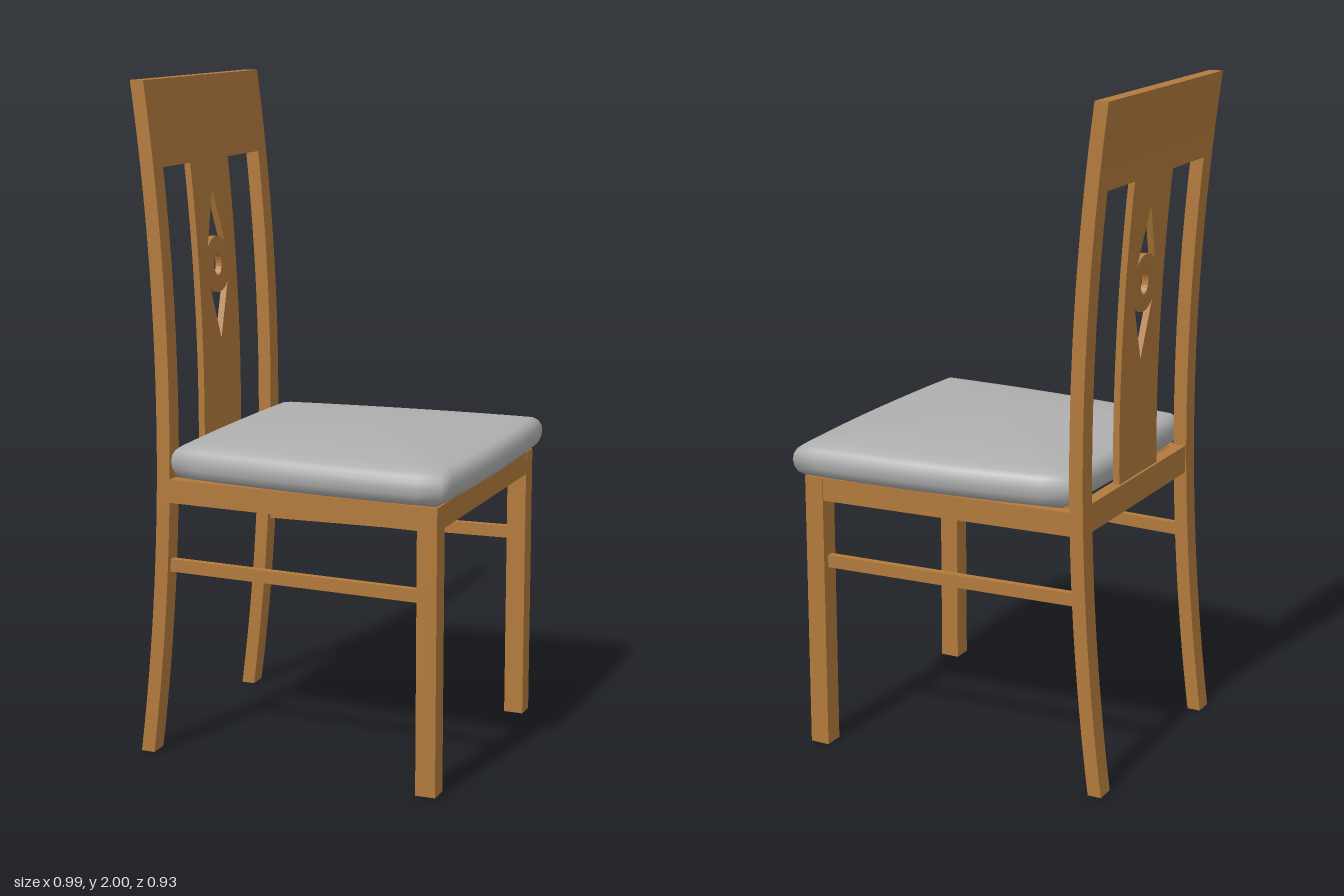
import * as THREE from 'three';

const wood = new THREE.MeshStandardMaterial({ color: 0xb27a3c });
wood.name = 'wood';
const fabric = new THREE.MeshStandardMaterial({ color: 0xb0b0b0 });
fabric.name = 'greyFabric';

// Rear face of the swept back, as x for a given height
const backX = (y) => -0.433 - 0.067 * (y - 1) ** 2;

function add(group, name, geometry, material = wood) {
  const mesh = new THREE.Mesh(geometry, material);
  mesh.name = name;
  group.add(mesh);
}

// Move every vertex by a rule
function deform(geometry, rule) {
  const p = geometry.attributes.position;
  const v = new THREE.Vector3();
  for (let i = 0; i < p.count; i++) {
    rule(v.fromBufferAttribute(p, i));
    p.setXYZ(i, v.x, v.y, v.z);
  }
  geometry.computeVertexNormals();
  return geometry;
}

function box(x0, x1, y0, y1, z0, z1, ySegments = 1) {
  return new THREE.BoxGeometry(x1 - x0, y1 - y0, z1 - z0, 1, ySegments, 1)
    .translate((x0 + x1) / 2, (y0 + y1) / 2, (z0 + z1) / 2);
}

// Box whose x is measured forward from the swept rear face
const bentBox = (x0, x1, y0, y1, z0, z1, n) =>
  deform(box(x0, x1, y0, y1, z0, z1, n), (v) => { v.x += backX(v.y); });

// Beam running from back to front, its centre sliding from zBack to zFront
const slantedBeam = (x0, x1, y0, y1, width, zBack, zFront) =>
  deform(box(x0, x1, y0, y1, -width / 2, width / 2), (v) => {
    v.z += zBack + (zFront - zBack) * (v.x - x0) / (x1 - x0);
  });

// Pierced middle of the splat: two arrowheads around a ring with an oval eye
function piercedPanel(halfWidth, y0, y1) {
  const shape = new THREE.Shape();
  const n = 8;
  for (let i = 0; i <= n; i++) {
    const y = y0 + (y1 - y0) * i / n;
    if (i) shape.lineTo(halfWidth, y); else shape.moveTo(halfWidth, y);
  }
  for (let i = n; i >= 0; i--) shape.lineTo(-halfWidth, y0 + (y1 - y0) * i / n);

  const centre = 1.432, r = 0.085, a = 0.79;
  for (const side of [1, -1]) {
    const hole = new THREE.Path();
    hole.moveTo(0, centre + side * 0.227);
    for (let i = 0; i <= 10; i++) {
      const t = -a + 2 * a * i / 10;
      hole.lineTo(r * Math.sin(t), centre + side * r * Math.cos(t));
    }
    hole.closePath();
    shape.holes.push(hole);
  }
  const eye = new THREE.Path();
  eye.absellipse(0, centre, 0.025, 0.034, 0, Math.PI * 2);
  shape.holes.push(eye);

  const geometry = new THREE.ExtrudeGeometry(shape, { depth: 0.02, bevelEnabled: false, curveSegments: 10 });
  geometry.rotateY(Math.PI / 2);
  return deform(geometry, (v) => { v.x += 0.01 + backX(v.y); });
}

// Domed cushion: square rings mapped onto a tapered, bulging outline
function cushionGeometry() {
  const profile = [[0, 0.84], [0.5, 0.84], [0.85, 0.843], [0.94, 0.849], [0.975, 0.861], [0.994, 0.88], [1, 0.9],
    [0.994, 0.918], [0.975, 0.933], [0.94, 0.944], [0.85, 0.953], [0.6, 0.963], [0.3, 0.969], [0, 0.971]];
  const perSide = 12, count = perSide * 4;
  const corners = [[-1, -1], [-1, 1], [1, 1], [1, -1]];
  const positions = [], indices = [];
  for (const [s, y] of profile) {
    for (let i = 0; i < count; i++) {
      const k = Math.floor(i / perSide), t = (i % perSide) / perSide;
      const [p, q] = [corners[k], corners[(k + 1) % 4]];
      const u = s * (p[0] + (q[0] - p[0]) * t);
      const v = s * (p[1] + (q[1] - p[1]) * t);
      const bulge = 1 - v * v;
      const x = 0.045 + 0.003 * bulge + u * (0.432 + 0.014 * bulge);
      const z = v * (0.447 + 0.0365 * u - 0.0205 * u * u);
      positions.push(x, y, z);
    }
  }
  for (let j = 0; j < profile.length - 1; j++) {
    for (let i = 0; i < count; i++) {
      const a = j * count + i, b = j * count + (i + 1) % count;
      indices.push(a, b, b + count, a, b + count, a + count);
    }
  }
  const geometry = new THREE.BufferGeometry();
  geometry.setAttribute('position', new THREE.Float32BufferAttribute(positions, 3));
  geometry.setIndex(indices);
  geometry.computeVertexNormals();
  return geometry;
}

export function createModel() {
  const chair = new THREE.Group();
  chair.name = 'diningChair';

  // Legs, side rails and stretchers, mirrored
  for (const s of [1, -1]) {
    const label = s > 0 ? 'A' : 'B';
    const z = (a, b) => (s > 0 ? [a, b] : [-b, -a]);
    add(chair, 'backPost' + label, bentBox(0, 0.042, 0, 1.75, ...z(0.33, 0.39), 28));
    add(chair, 'frontLeg' + label, box(0.395, 0.455, 0, 0.845, ...z(0.372, 0.434)));
    add(chair, 'sideRail' + label, slantedBeam(-0.41, 0.41, 0.775, 0.845, 0.04, s * 0.369, s * 0.412));
    add(chair, 'stretcher' + label, slantedBeam(-0.42, 0.41, 0.562, 0.6, 0.022, s * 0.36, s * 0.402));
  }

  // Front and back seat rails
  add(chair, 'frontRail', box(0.415, 0.454, 0.775, 0.845, -0.38, 0.38));
  add(chair, 'backRail', box(-0.432, -0.395, 0.775, 0.86, -0.335, 0.335));

  // Backrest
  add(chair, 'crestRail', bentBox(0, 0.042, 1.75, 2, -0.39, 0.39, 6));
  add(chair, 'splatLower', bentBox(0.01, 0.03, 0.85, 1.18, -0.13, 0.13, 6));
  add(chair, 'splatPierced', piercedPanel(0.13, 1.18, 1.68));
  add(chair, 'splatUpper', bentBox(0.01, 0.03, 1.68, 1.76, -0.13, 0.13, 2));

  // Upholstered seat
  add(chair, 'seatCushion', cushionGeometry(), fabric);
  return chair;
}
